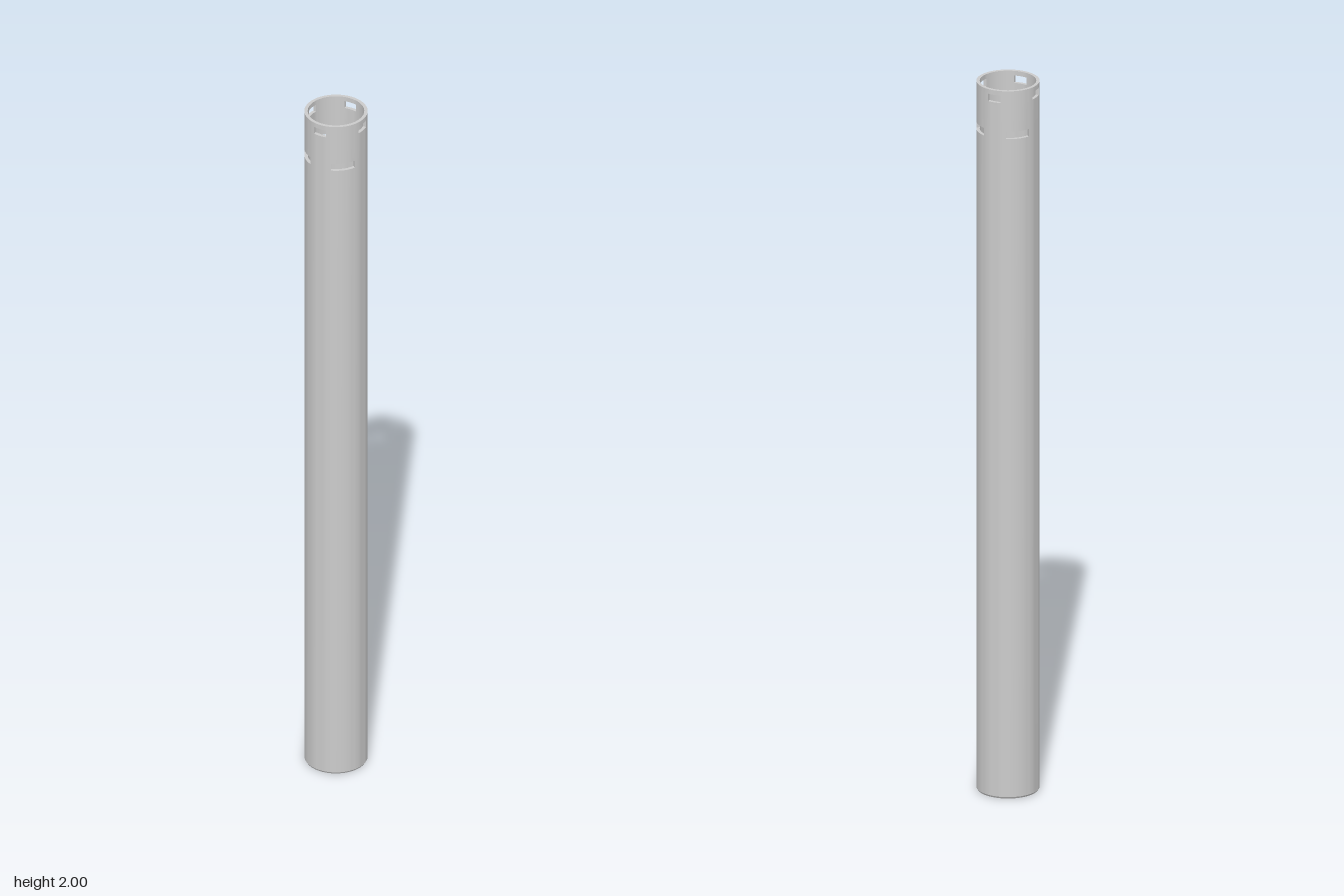
import * as THREE from 'three';
import { toCreasedNormals } from 'three/addons/utils/BufferGeometryUtils.js';

const OUTER = 0.084, INNER = 0.075, FLOOR = 0.009;
const UPPER_HALF = 0.0185, LOWER_HALF = 0.032; // half widths of the slots
const LEVELS = [FLOOR, 1.865, 1.886, 1.966, 1.987, 2];

// Columns around the wall; slot sides are parallel, so inner and outer angles differ
function makeColumns() {
  const columns = [];
  const edges = r => {
    const a = Math.asin(UPPER_HALF / r), b = Math.asin(LOWER_HALF / r);
    return [-a, a, Math.PI / 4 - b, Math.PI / 4 + b, Math.PI / 2 - a];
  };
  const outer = edges(OUTER), inner = edges(INNER);
  const parts = [['upper', 4], ['gap', 2], ['lower', 8], ['gap', 2]];
  for (let q = 0; q < 4; q++) {
    parts.forEach(([kind, n], k) => {
      for (let s = 0; s < n; s++) {
        const at = e => q * Math.PI / 2 + THREE.MathUtils.lerp(e[k], e[k + 1], s / n);
        columns.push({ kind, angles: [at(outer), at(inner)] });
      }
    });
  }
  return columns;
}

// Tube wall with two staggered rows of four rectangular slots
function wallGeometry() {
  const columns = makeColumns(), n = columns.length, pos = [];
  const solid = (i, j) => {
    if (j < 0) return true;
    if (j >= LEVELS.length - 1) return false;
    const kind = columns[(i + n) % n].kind;
    return !(j === 1 && kind === 'lower') && !(j === 3 && kind === 'upper');
  };
  const point = (i, j, side) => {
    const t = columns[i % n].angles[side], r = side ? INNER : OUTER;
    return [r * Math.sin(t), LEVELS[j], r * Math.cos(t)];
  };
  const quad = (a, b, c, d) => pos.push(...a, ...b, ...c, ...a, ...c, ...d);

  for (let i = 0; i < n; i++) {
    for (let j = 0; j < LEVELS.length - 1; j++) {
      if (!solid(i, j)) continue;
      const k = i + 1, u = j + 1;
      quad(point(i, j, 0), point(k, j, 0), point(k, u, 0), point(i, u, 0));
      quad(point(k, j, 1), point(i, j, 1), point(i, u, 1), point(k, u, 1));
      if (!solid(i, u)) quad(point(i, u, 0), point(k, u, 0), point(k, u, 1), point(i, u, 1));
      if (!solid(i, j - 1)) quad(point(i, j, 1), point(k, j, 1), point(k, j, 0), point(i, j, 0));
      if (!solid(k, j)) quad(point(k, j, 0), point(k, j, 1), point(k, u, 1), point(k, u, 0));
      if (!solid(i - 1, j)) quad(point(i, j, 1), point(i, j, 0), point(i, u, 0), point(i, u, 1));
    }
  }
  const geometry = new THREE.BufferGeometry();
  geometry.setAttribute('position', new THREE.Float32BufferAttribute(pos, 3));
  return toCreasedNormals(geometry, 0.6);
}

// Closed bottom with a small chamfer
function baseGeometry() {
  const profile = [
    [0, 0], [0.081, 0], [OUTER, 0.005], [OUTER, FLOOR], [INNER, FLOOR], [0, FLOOR],
  ].map(([x, y]) => new THREE.Vector2(x, y));
  return toCreasedNormals(new THREE.LatheGeometry(profile, 64), 0.4);
}

export function createModel() {
  const group = new THREE.Group();
  group.name = 'slottedTube';
  const material = new THREE.MeshStandardMaterial({ color: 0xcccccc });
  const add = (name, geometry) => {
    const mesh = new THREE.Mesh(geometry, material);
    mesh.name = name;
    group.add(mesh);
  };
  add('tubeWall', wallGeometry());
  add('tubeBase', baseGeometry());
  return group;
}
